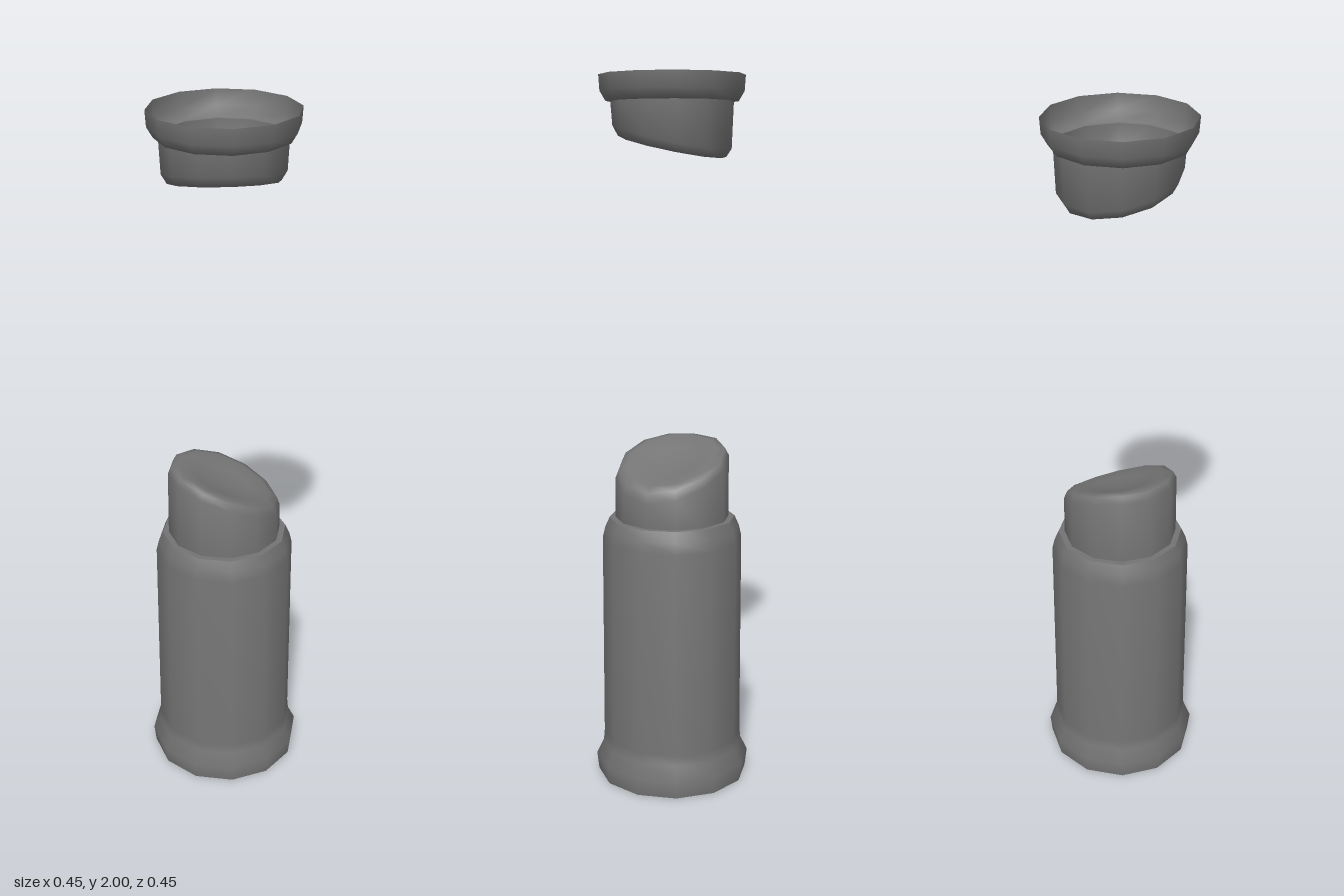
import * as THREE from 'three';
import { mergeVertices, toCreasedNormals } from 'three/addons/utils/BufferGeometryUtils.js';

const SIDES = 12;
const material = new THREE.MeshStandardMaterial({ color: 0x747474, side: THREE.DoubleSide });

// Twelve-sided turned part; the height rule moves each vertex up or down.
function turned(name, profile, creaseAngle, heightRule = (x, y) => y) {
  const lathe = new THREE.LatheGeometry(profile.map(([r, y]) => new THREE.Vector2(r, y)), SIDES);
  const p = lathe.attributes.position;
  for (let i = 0; i < p.count; i++) {
    p.setY(i, heightRule(p.getX(i), p.getY(i), p.getZ(i)));
  }
  lathe.deleteAttribute('uv');
  lathe.deleteAttribute('normal');
  const mesh = new THREE.Mesh(toCreasedNormals(mergeVertices(lathe), creaseAngle), material);
  mesh.name = name;
  return mesh;
}

export function createModel() {
  const model = new THREE.Group();
  model.name = 'lipTube';

  // Hollow tube with flared foot, rounded shoulder and a ledge at the top
  model.add(turned('tubeBody', [
    [0.217, 0], [0.223, 0.05], [0.203, 0.09], [0.2, 0.12],
    [0.2, 0.71], [0.193, 0.74], [0.18, 0.77], [0.163, 0.77],
  ], 0.9));

  // Slanted tip: heights above 0.8 are offsets from the sloping, dished top
  const slope = (x) => Math.min(0.988, 0.945 - 0.39 * x - 0.6 * x * x);
  model.add(turned('slantedTip', [
    [0.163, 0.77], [0.162, 0.975], [0.152, 0.996], [0.13, 1.0], [0.08, 0.985], [0, 0.972],
  ], 1.3, (x, y) => (y > 0.8 ? slope(x) + y - 1 : y)));

  // Floating cap, open at the top, with a stepped rim and a rounded, sloping floor
  const floorY = (z) => Math.max(1.778, 1.81 + 0.22 * z);
  model.add(turned('cap', [
    [0, 1.8], [0.08, 1.8], [0.148, 1.8], [0.163, 1.825],
    [0.168, 1.93], [0.181, 1.93], [0.197, 1.957], [0.2, 2],
  ], 1.3, (x, y, z) => (y < 1.9 ? floorY(z) + y - 1.8 : y)));

  return model;
}
